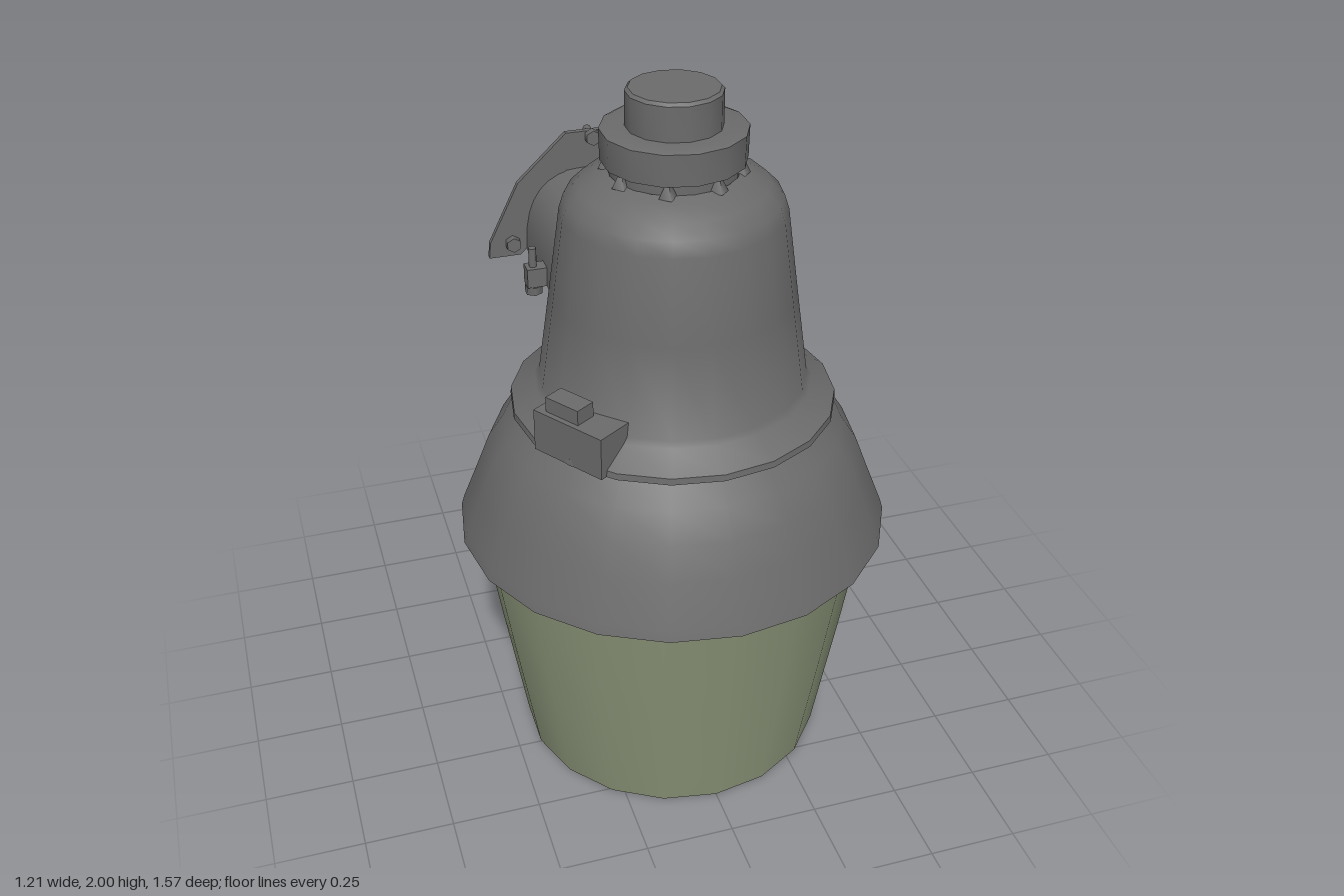
import * as THREE from 'three';
import { toCreasedNormals } from 'three/addons/utils/BufferGeometryUtils.js';
import { ParametricGeometry } from 'three/addons/geometries/ParametricGeometry.js';

const CZ = 0.17; // depth of the lamp axis
const V = (x, y, z) => new THREE.Vector3(x, y, z);

export function createModel() {
  const group = new THREE.Group();
  const metal = new THREE.MeshStandardMaterial({ color: 0x6b6b6b, side: THREE.DoubleSide });
  metal.name = 'grey metal';
  const glass = new THREE.MeshStandardMaterial({ color: 0x8a9478, side: THREE.DoubleSide });
  glass.name = 'green lens';
  const red = new THREE.MeshStandardMaterial({ color: 0x8f3a2c });
  red.name = 'red wire';

  const add = (name, geo, mat, x = 0, y = 0, z = 0, parent = group) => {
    const m = new THREE.Mesh(geo, mat);
    m.name = name;
    m.position.set(x, y, z);
    parent.add(m);
    return m;
  };
  // turned part on the lamp axis, profile listed from bottom to top as [radius, y]
  const turned = (name, pts, sides, mat) => {
    const g = new THREE.LatheGeometry(pts.map(([r, y]) => new THREE.Vector2(r, y)), sides);
    return add(name, toCreasedNormals(g, 0.75), mat, 0, 0, CZ);
  };
  const wire = (name, pts, r, mat) =>
    add(name, new THREE.TubeGeometry(new THREE.CatmullRomCurve3(pts), 12, r, 6), mat);

  // lens skirt, open underneath
  turned('lens', [[0.44, 0.005], [0.5, 0.37], [0.557, 0.74]], 18, glass);

  // bell-shaped reflector hood
  turned('hood', [[0.555, 0.725], [0.607, 0.73], [0.598, 0.76], [0.55, 0.88], [0.515, 0.97],
    [0.47, 1.04], [0.41, 1.11]], 20, metal);

  // upper housing with flange and rounded shoulder
  turned('housing', [[0.4, 1.11], [0.448, 1.11], [0.446, 1.128], [0.38, 1.175], [0.366, 1.19],
    [0.33, 1.44], [0.298, 1.67], [0.285, 1.71], [0.25, 1.745], [0.2, 1.77], [0.17, 1.78]], 20, metal);

  // photocell neck, collar and cap
  turned('neck', [[0.17, 1.77], [0.17, 1.82]], 14, metal);
  turned('collar', [[0.16, 1.81], [0.19, 1.81], [0.192, 1.895], [0.18, 1.9], [0.12, 1.9]], 14, metal);
  turned('cap', [[0.126, 1.89], [0.126, 1.992], [0.118, 2], [0, 2]], 14, metal);
  for (let i = 0; i < 8; i++) {
    const a = (i + 0.5) * Math.PI / 4;
    add('collarTooth', new THREE.ConeGeometry(0.025, 0.05, 4), metal,
      0.172 * Math.sin(a), 1.8, CZ + 0.172 * Math.cos(a));
  }

  // mounting arm: an arched trough open below, flaring into the housing
  const arm = new ParametricGeometry((u, v, p) => {
    const z = -0.66 + v * 0.62;
    const flare = Math.max(0, (z + 0.3) / 0.26);
    const t = u * Math.PI;
    const w = 0.215 + 0.06 * flare;
    const c = Math.cos(t);
    p.set(w * Math.sign(c) * Math.pow(Math.abs(c), 0.75),
      1.195 - 0.04 * flare + (0.255 + 0.08 * flare) * Math.pow(Math.max(0, Math.sin(t)), 0.75), z);
  }, 16, 8);
  add('arm', arm, metal);

  // arched mounting plate at the end of the arm
  const half = [[0.335, 1.18], [0.33, 1.23], [0.235, 1.42], [0.08, 1.565]];
  const inner = [[0.08, 1.445], [0.17, 1.385], [0.215, 1.2], [0.235, 1.18]];
  const outline = [...half, ...half.map(([x, y]) => [-x, y]).reverse(),
    ...inner.map(([x, y]) => [-x, y]).reverse(), ...inner];
  // walk the outer arch, then back along the inner arch
  const shape = new THREE.Shape(outline.map(([x, y]) => new THREE.Vector2(x, y)));
  add('mountingPlate', new THREE.ExtrudeGeometry(shape, { depth: 0.018, bevelEnabled: false }),
    metal, 0, 0, -0.672);

  // plate bolts
  const bolt = (x, y, z0, z1) => {
    const shank = add('plateBolt', new THREE.CylinderGeometry(0.013, 0.013, z1 - z0, 8), metal,
      x, y, (z0 + z1) / 2);
    shank.rotation.x = Math.PI / 2;
    const head = add('plateBoltHead', new THREE.CylinderGeometry(0.024, 0.024, 0.025, 6), metal,
      x, y, z1 - 0.012);
    head.rotation.x = Math.PI / 2;
  };
  bolt(0, 1.55, -0.71, -0.625);
  for (const s of [-1, 1]) {
    bolt(s * 0.26, 1.225, -0.74, -0.63);
    // clamp lugs and their vertical bolts beside the arm
    add('clampLug', new THREE.BoxGeometry(0.075, 0.06, 0.05), metal, s * 0.235, 1.225, -0.42);
    add('clampBolt', new THREE.CylinderGeometry(0.012, 0.012, 0.15, 8), metal, s * 0.25, 1.24, -0.42);
    add('clampNut', new THREE.CylinderGeometry(0.027, 0.027, 0.025, 6), metal, s * 0.25, 1.18, -0.42);
  }

  // supply wires
  wire('redWire', [V(0.16, 1.24, -0.5), V(0.14, 1.18, -0.6), V(0.13, 1.145, -0.67),
    V(0.1, 1.18, -0.72), V(0.055, 1.265, -0.78)], 0.017, red);
  wire('greyWire', [V(-0.06, 1.32, -0.5), V(-0.08, 1.29, -0.64), V(-0.1, 1.22, -0.7),
    V(-0.12, 1.19, -0.735)], 0.014, metal);
  wire('redWireTip', [V(-0.115, 1.2, -0.72), V(-0.12, 1.2, -0.75), V(-0.12, 1.23, -0.775)], 0.01, red);

  // latch block on the flange
  const latch = new THREE.Group();
  latch.name = 'latch';
  latch.position.set(-0.31, 0, 0.39);
  latch.rotation.y = Math.atan2(-0.33, 0.22);
  group.add(latch);
  add('latchBase', new THREE.BoxGeometry(0.23, 0.12, 0.13), metal, 0, 1.17, 0, latch);
  add('latchTop', new THREE.BoxGeometry(0.11, 0.045, 0.06), metal, -0.03, 1.25, 0.02, latch);

  // dark patches on the back of the lens
  for (const [deg, y, r] of [[139, 0.65, 0.046], [192, 0.66, 0.024]]) {
    const a = deg * Math.PI / 180;
    const pivot = new THREE.Group();
    pivot.name = 'lensPatch';
    pivot.position.set(0, y, CZ);
    pivot.rotation.y = a;
    group.add(pivot);
    const patch = add('patch', new THREE.CircleGeometry(r, 10), metal, 0, 0, 0.549, pivot);
    patch.rotation.x = 0.157;
    patch.scale.y = 0.85;
  }
  return group;
}
